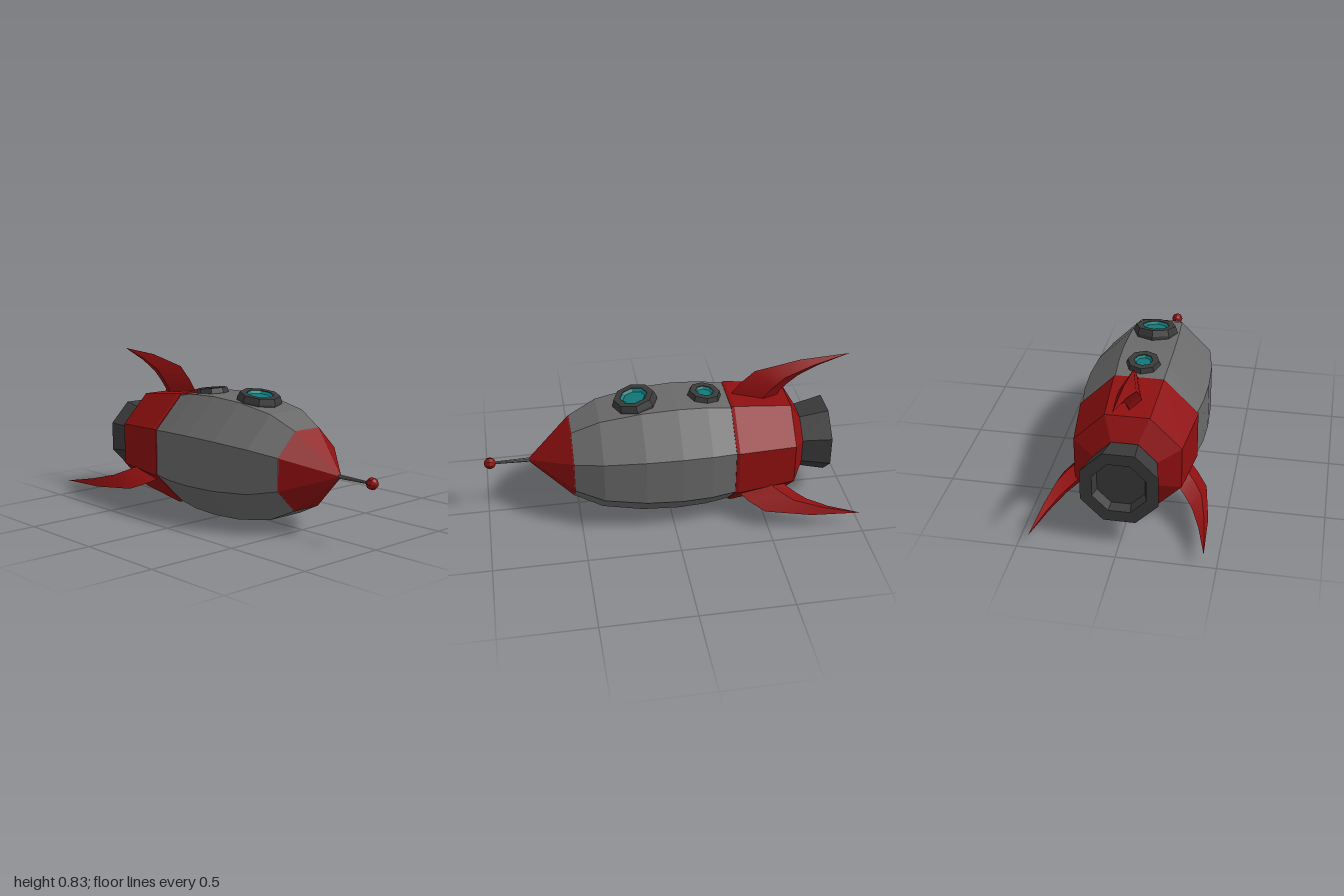
import * as THREE from 'three';
import { toCreasedNormals } from 'three/addons/utils/BufferGeometryUtils.js';

const AXIS_Y = 0.33;
const CORNER = 1 / Math.cos(Math.PI / 8); // octagon flat radius -> corner radius

function paint(name, color) {
  const m = new THREE.MeshStandardMaterial({ color });
  m.name = name;
  return m;
}

// Flat-faced copy of a geometry
function faceted(geo) {
  const g = geo.toNonIndexed();
  g.computeVertexNormals();
  return g;
}

function part(parent, name, geo, material) {
  const mesh = new THREE.Mesh(geo, material);
  mesh.name = name;
  parent.add(mesh);
  return mesh;
}

// Octagonal hull piece along z from [flat radius, z] pairs, rear to front
function hull(profile) {
  const pts = profile.map(([r, z]) => new THREE.Vector2(r * CORNER, z));
  const g = new THREE.LatheGeometry(pts, 8, Math.PI / 8).rotateX(Math.PI / 2);
  return faceted(g);
}

// Swept fin: diamond cross-sections of [lead z, lead r, trail z, trail r, half width]
function finGeometry() {
  const sections = [
    [-0.34, 0.25, -0.60, 0.25, 0.044],
    [-0.36, 0.32, -0.62, 0.30, 0.047],
    [-0.40, 0.37, -0.665, 0.345, 0.048],
    [-0.48, 0.44, -0.72, 0.39, 0.043],
    [-0.73, 0.488, -0.83, 0.445, 0.024],
    [-1.0, 0.503, -1.0, 0.503, 0]
  ];
  const pos = [];
  const index = [];
  for (const [lz, lr, tz, tr, w] of sections) {
    const mz = lz + (tz - lz) * 0.65;
    const mr = lr + (tr - lr) * 0.65;
    pos.push(0, lr, lz, w, mr, mz, 0, tr, tz, -w, mr, mz);
  }
  for (let s = 0; s < sections.length - 1; s++) {
    for (let k = 0; k < 4; k++) {
      const a = s * 4 + k;
      const b = s * 4 + (k + 1) % 4;
      index.push(a, b, a + 4);
      if (s < sections.length - 2) index.push(b, b + 4, a + 4);
    }
  }
  const g = new THREE.BufferGeometry();
  g.setAttribute('position', new THREE.Float32BufferAttribute(pos, 3));
  g.setIndex(index);
  return toCreasedNormals(g, 0.7);
}

// Raised octagonal window with a sunken pane
function porthole(name, radius, pane, height, frameMat, glassMat) {
  const group = new THREE.Group();
  group.name = name;
  const lathe = (pairs) => faceted(
    new THREE.LatheGeometry(pairs.map(([r, y]) => new THREE.Vector2(r, y)), 8));
  part(group, 'portholeFrame', lathe([
    [radius, -0.015], [radius, 0.008], [radius * 0.9, height], [pane, height], [pane, height - 0.015]
  ]), frameMat);
  part(group, 'portholeGlass', lathe([
    [pane, height - 0.004], [pane * 0.8, height - 0.015], [0, height - 0.015]
  ]), glassMat);
  return group;
}

export function createModel() {
  const grey = paint('hullGrey', 0x6a6a6a);
  const red = paint('trimRed', 0x8e0f10);
  const dark = paint('darkMetal', 0x3a3a3a);
  const teal = paint('glassTeal', 0x0f7878);

  const rocket = new THREE.Group();
  rocket.name = 'rocket';
  const body = new THREE.Group();
  body.name = 'body';
  body.position.y = AXIS_Y;
  rocket.add(body);

  // Hull, tail band, nose and engine
  part(body, 'hull', hull([
    [0.302, -0.34], [0.322, -0.2], [0.328, -0.04], [0.318, 0.155], [0.28, 0.375], [0.206, 0.53]
  ]), grey);
  part(body, 'tailSection', hull([
    [0, -0.728], [0.165, -0.728], [0.275, -0.66], [0.312, -0.345], [0.308, -0.328], [0.29, -0.328]
  ]), red);
  part(body, 'noseCone', hull([[0, 0.525], [0.21, 0.525], [0.01, 0.755], [0, 0.755]]), red);
  part(body, 'engineNozzle', hull([
    [0, -0.835], [0.12, -0.835], [0.135, -0.885], [0.195, -0.885], [0.16, -0.72]
  ]), dark);

  // Antenna with ball tip
  const rod = new THREE.CylinderGeometry(0.007, 0.012, 0.22, 8).rotateX(Math.PI / 2);
  part(body, 'antennaRod', faceted(rod), grey).position.z = 0.845;
  const ball = new THREE.SphereGeometry(0.032, 8, 6).rotateX(Math.PI / 2);
  part(body, 'antennaBall', faceted(ball), red).position.z = 0.968;

  // Three fins around the tail
  const fin = finGeometry();
  for (let i = 0; i < 3; i++) {
    part(body, 'fin', fin, red).rotation.z = i * Math.PI * 2 / 3;
  }

  // Portholes on the top face
  const front = porthole('frontPorthole', 0.121, 0.074, 0.04, dark, teal);
  front.position.set(0, 0.645, 0.172);
  front.rotation.x = 0.165;
  const rear = porthole('rearPorthole', 0.092, 0.049, 0.035, dark, teal);
  rear.position.set(0, 0.641, -0.204);
  rear.rotation.x = -0.11;
  rocket.add(front, rear);

  return rocket;
}
